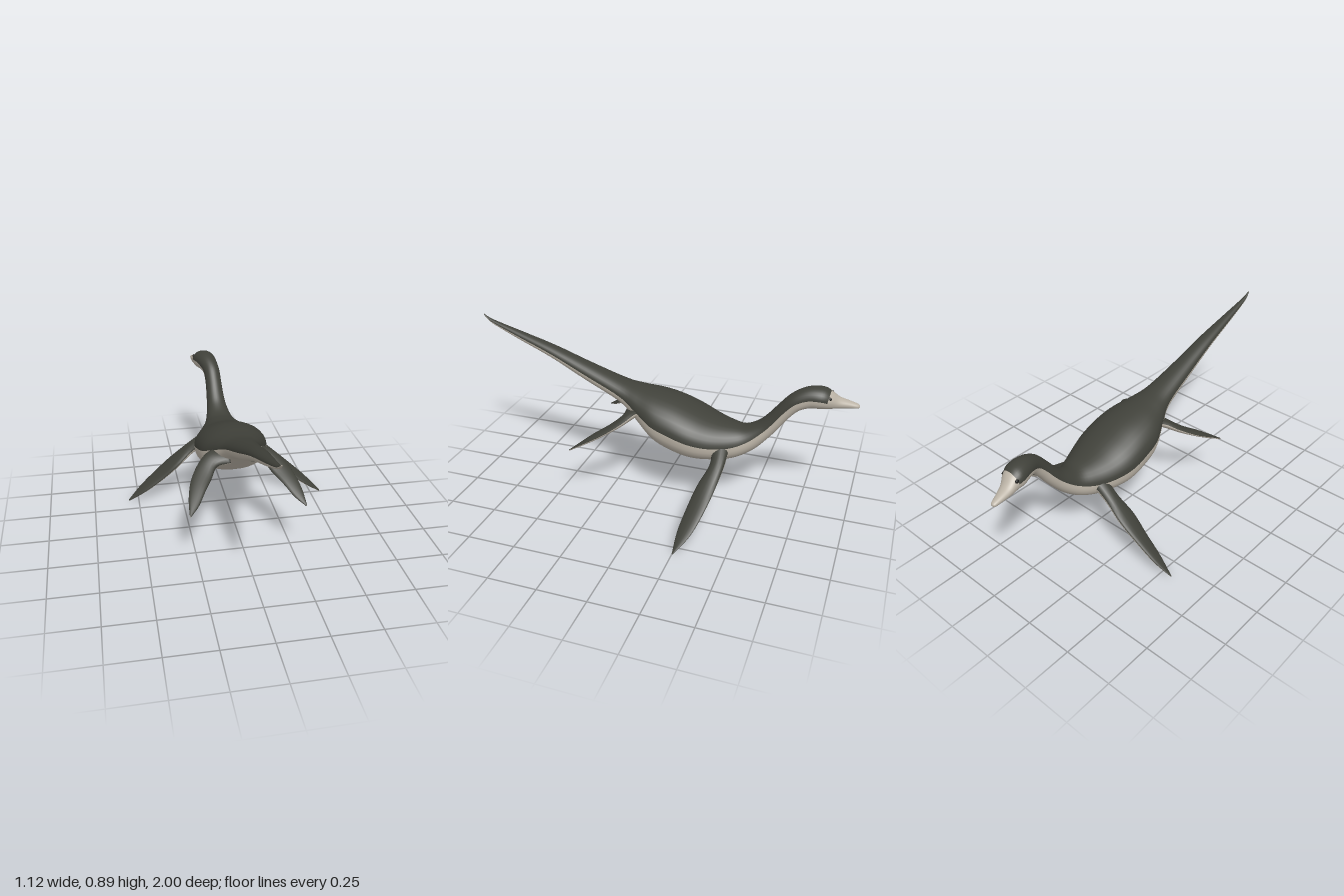
import * as THREE from 'three';

const dark = new THREE.MeshStandardMaterial({ color: 0x40413a });
dark.name = 'dark back';
const light = new THREE.MeshStandardMaterial({ color: 0xbbb3a6 });
light.name = 'pale belly';
const black = new THREE.MeshStandardMaterial({ color: 0x1c1c1a });
black.name = 'eye black';

// Smooth interpolation of rows of numbers, t in 0..1
function sampleRows(rows, t) {
  const f = t * (rows.length - 1), i = Math.min(Math.floor(f), rows.length - 2), u = f - i;
  const row = k => rows[Math.max(0, Math.min(rows.length - 1, k))];
  return rows[0].map((_, c) => {
    const [a, b, d, e] = [row(i - 1)[c], row(i)[c], row(i + 1)[c], row(i + 2)[c]];
    return b + 0.5 * u * (d - a + u * (2 * a - 5 * b + 4 * d - e + u * (3 * (b - d) + e - a)));
  });
}

// Skin over closed rings; the first half of each ring is the upper side.
// Rings from paleFrom onward are pale all round.
function skin(rings, paleFrom = Infinity) {
  const n = rings[0].length, pos = [], upper = [], lower = [];
  rings.forEach(r => r.forEach(p => pos.push(p.x, p.y, p.z)));
  for (let i = 0; i < rings.length - 1; i++) {
    for (let j = 0; j < n; j++) {
      const a = i * n + j, b = i * n + (j + 1) % n, c = a + n, d = b + n;
      (j < n / 2 && i < paleFrom ? upper : lower).push(a, b, c, b, d, c);
    }
  }
  // end caps
  [0, rings.length - 1].forEach((i, end) => {
    const centre = pos.length / 3;
    const m = rings[i].reduce((s, p) => s.add(p), new THREE.Vector3()).divideScalar(n);
    pos.push(m.x, m.y, m.z);
    for (let j = 0; j < n; j++) {
      const a = i * n + j, b = i * n + (j + 1) % n;
      lower.push(...(end ? [a, b, centre] : [b, a, centre]));
    }
  });
  const idx = [...upper, ...lower];
  // turn faces outward if the enclosed volume is negative
  let volume = 0;
  const v = k => new THREE.Vector3().fromArray(pos, k * 3);
  for (let k = 0; k < idx.length; k += 3) volume += v(idx[k]).dot(v(idx[k + 1]).cross(v(idx[k + 2])));
  if (volume < 0) for (let k = 0; k < idx.length; k += 3) [idx[k], idx[k + 1]] = [idx[k + 1], idx[k]];
  const g = new THREE.BufferGeometry();
  g.setAttribute('position', new THREE.Float32BufferAttribute(pos, 3));
  g.setIndex(idx);
  g.addGroup(0, upper.length, 0);
  g.addGroup(upper.length, lower.length, 1);
  g.computeVertexNormals();
  return g;
}

// Body stations from tail tip to snout: z, x, y, half width, half height, backward lean in degrees
const BODY = [
  [1.0, 0, 0.888, 0.003, 0.003, 0],
  [0.95, 0, 0.855, 0.012, 0.010, 0],
  [0.8, 0, 0.80, 0.026, 0.021, 0],
  [0.6, 0, 0.73, 0.043, 0.032, 0],
  [0.4, 0, 0.645, 0.060, 0.046, 0],
  [0.2, 0, 0.565, 0.085, 0.058, 0],
  [0.1, 0, 0.515, 0.125, 0.088, 0],
  [0.0, 0, 0.465, 0.172, 0.125, 0],
  [-0.1, 0, 0.433, 0.187, 0.135, 0],
  [-0.2, 0, 0.403, 0.186, 0.128, 0],
  [-0.3, 0, 0.383, 0.160, 0.108, 2],
  [-0.4, 0, 0.382, 0.118, 0.090, 10],
  [-0.48, 0, 0.408, 0.080, 0.067, 28],
  [-0.55, -0.003, 0.462, 0.058, 0.050, 44],
  [-0.6, -0.005, 0.517, 0.050, 0.044, 48],
  [-0.65, -0.006, 0.583, 0.046, 0.042, 48],
  [-0.7, -0.01, 0.635, 0.047, 0.046, 35],
  [-0.76, -0.025, 0.662, 0.055, 0.053, 14],
  [-0.82, -0.038, 0.664, 0.062, 0.054, -4],
  [-0.86, -0.046, 0.653, 0.052, 0.043, -10],
  [-0.9, -0.062, 0.638, 0.038, 0.027, -8],
  [-0.95, -0.075, 0.630, 0.025, 0.018, 0],
  [-0.99, -0.082, 0.623, 0.015, 0.011, 0],
  [-1.0, -0.083, 0.622, 0.005, 0.004, 0],
];

function bodyGeometry() {
  const SUB = 5, SIDES = 32, rings = [];
  const steps = (BODY.length - 1) * SUB;
  for (let i = 0; i <= steps; i++) {
    const [z, x, y, w, h, lean] = sampleRows(BODY, i / steps);
    const t = THREE.MathUtils.degToRad(lean), ring = [];
    for (let j = 0; j < SIDES; j++) {
      const a = j / SIDES * Math.PI * 2, c = Math.cos(a), s = Math.sin(a);
      const up = h * Math.sign(s) * Math.abs(s) ** (s < 0 ? 0.85 : 1);
      const side = w * Math.sign(c) * Math.abs(c) ** (s < 0 ? 0.85 : 1);
      ring.push(new THREE.Vector3(x + side, y + up * Math.cos(t), z + up * Math.sin(t)));
    }
    rings.push(ring);
  }
  return skin(rings, 19 * SUB - 1);
}

// Flipper stations: leading edge xyz, trailing edge xyz, half thickness
const FRONT_LEFT = [
  [0.09, 0.375, -0.40, 0.09, 0.36, -0.31, 0.038],
  [0.18, 0.32, -0.40, 0.18, 0.305, -0.325, 0.027],
  [0.28, 0.245, -0.385, 0.27, 0.225, -0.285, 0.022],
  [0.38, 0.165, -0.36, 0.36, 0.145, -0.26, 0.017],
  [0.48, 0.08, -0.32, 0.46, 0.07, -0.245, 0.012],
  [0.557, 0.01, -0.258, 0.555, 0.006, -0.25, 0.003],
];
// the right front flipper is swept less
const sweepLead = [-0.40, -0.40, -0.41, -0.40, -0.38, -0.345];
const sweepTrail = [-0.31, -0.32, -0.30, -0.305, -0.315, -0.338];
const FRONT_RIGHT = FRONT_LEFT.map((r, i) =>
  [-r[0], r[1], sweepLead[i], -r[3], r[4], sweepTrail[i], r[6]]);
const REAR_LEFT = [
  [0.07, 0.50, 0.06, 0.05, 0.47, 0.17, 0.026],
  [0.15, 0.505, 0.09, 0.12, 0.455, 0.17, 0.022],
  [0.21, 0.47, 0.14, 0.155, 0.42, 0.22, 0.018],
  [0.26, 0.42, 0.22, 0.20, 0.385, 0.29, 0.014],
  [0.285, 0.37, 0.31, 0.24, 0.345, 0.35, 0.010],
  [0.292, 0.32, 0.395, 0.288, 0.315, 0.40, 0.003],
];
const REAR_RIGHT = REAR_LEFT.map(r => [-r[0], r[1], r[2], -r[3], r[4], r[5], r[6]]);

function flipperGeometry(rows) {
  const STEPS = 25, SIDES = 16, rings = [];
  const edges = t => {
    const r = sampleRows(rows, t);
    return { lead: new THREE.Vector3(...r.slice(0, 3)), trail: new THREE.Vector3(...r.slice(3, 6)), thick: r[6] };
  };
  const middle = t => { const e = edges(t); return e.lead.add(e.trail).multiplyScalar(0.5); };
  for (let i = 0; i <= STEPS; i++) {
    const t = i / STEPS, { lead, trail, thick } = edges(t), centre = middle(t);
    const half = lead.clone().sub(trail).multiplyScalar(0.5);
    const along = middle(Math.min(1, t + 0.02)).sub(middle(Math.max(0, t - 0.02)));
    const up = half.clone().cross(along).normalize();
    if (up.y < 0) up.negate();
    const ring = [];
    for (let j = 0; j < SIDES; j++) {
      const a = j / SIDES * Math.PI * 2;
      ring.push(centre.clone().addScaledVector(half, Math.cos(a)).addScaledVector(up, thick * Math.sin(a)));
    }
    rings.push(ring);
  }
  return skin(rings);
}

export function createModel() {
  const model = new THREE.Group();
  model.name = 'marineReptile';
  const add = (name, geometry, material = [dark, light]) => {
    const mesh = new THREE.Mesh(geometry, material);
    mesh.name = name;
    model.add(mesh);
    return mesh;
  };
  // tail, trunk, neck and head in one skin
  add('body', bodyGeometry());
  // flippers
  add('frontLeftFlipper', flipperGeometry(FRONT_LEFT));
  add('frontRightFlipper', flipperGeometry(FRONT_RIGHT));
  add('rearLeftFlipper', flipperGeometry(REAR_LEFT));
  add('rearRightFlipper', flipperGeometry(REAR_RIGHT));
  // eyes
  for (const s of [1, -1]) {
    const eye = add(s > 0 ? 'leftEye' : 'rightEye', new THREE.SphereGeometry(0.01, 12, 8), black);
    eye.position.set(-0.048 + s * 0.044, 0.674, -0.86);
    eye.scale.x = 0.7;
  }
  return model;
}
